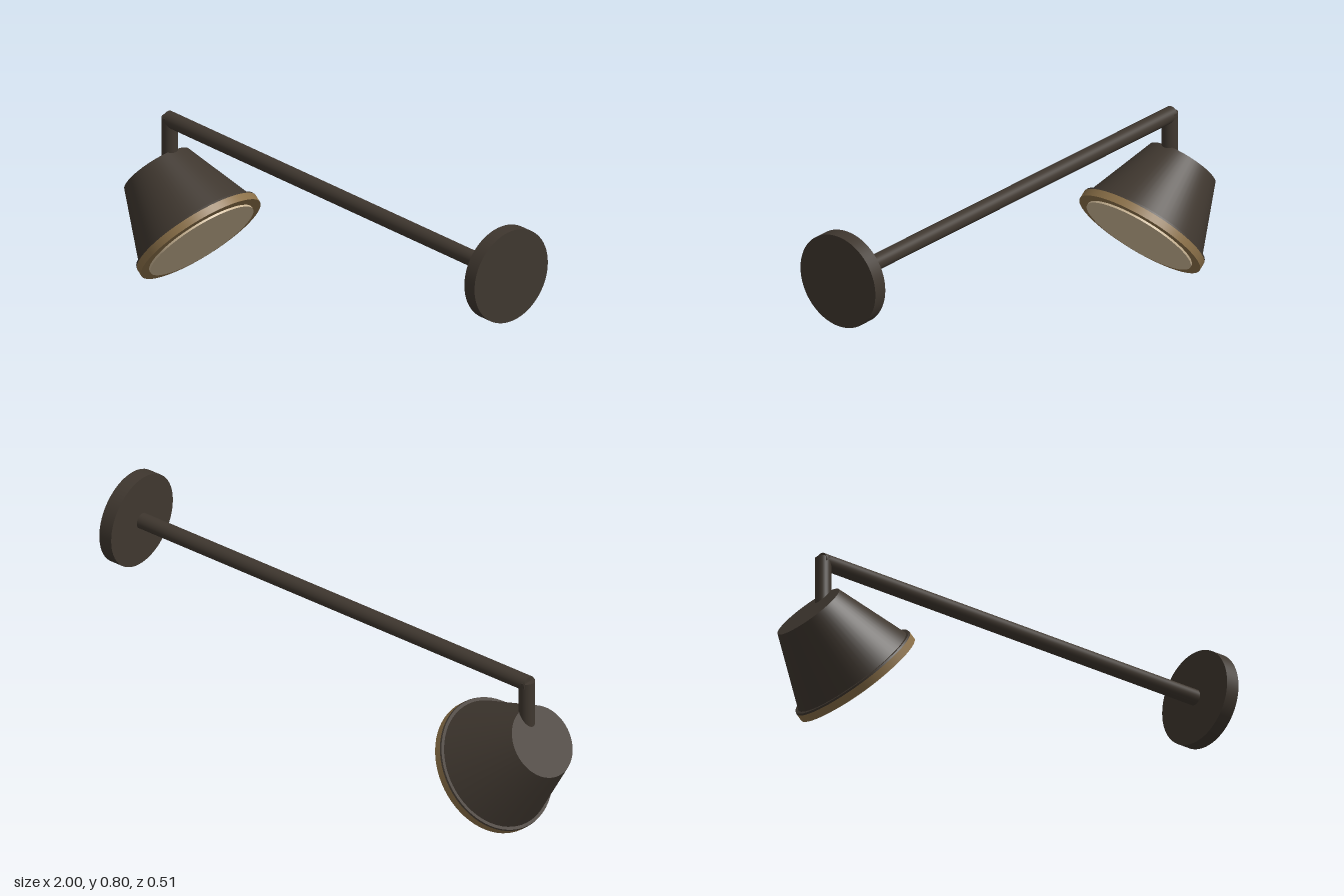
import * as THREE from 'three';

export function createModel() {
  const model = new THREE.Group();
  model.name = 'wallLamp';

  const mat = (name, color) => {
    const m = new THREE.MeshStandardMaterial({ color });
    m.name = name;
    return m;
  };
  const bronze = mat('darkBronze', 0x3f372f);
  const brass = mat('agedBrass', 0x8c7149);
  const glass = mat('warmDiffuser', 0xcdb897);

  // Closed cylinder or cone running along local y from y0 to y1
  const turned = (parent, name, material, r0, r1, y0, y1, sides = 64) => {
    const geo = new THREE.CylinderGeometry(r1, r0, y1 - y0, sides);
    geo.translate(0, (y0 + y1) / 2, 0);
    const mesh = new THREE.Mesh(geo, material);
    mesh.name = name;
    parent.add(mesh);
    return mesh;
  };

  // Wall plate and long horizontal arm, turned so local y runs along +x
  const support = new THREE.Group();
  support.name = 'wallSupport';
  support.position.y = 0.617;
  support.rotation.z = -Math.PI / 2;
  model.add(support);
  turned(support, 'wallPlate', bronze, 0.18, 0.18, 0.945, 1);
  turned(support, 'arm', bronze, 0.03, 0.03, -0.85, 0.95, 32);

  // Short drop stem joining the arm to the shade
  turned(model, 'stem', bronze, 0.03, 0.03, 0.42, 0.628, 32).position.x = -0.84;

  // Lamp head, tilted so local y points out through the opening
  const head = new THREE.Group();
  head.name = 'lampHead';
  head.position.set(-0.911, 0.394, 0);
  head.rotation.z = THREE.MathUtils.degToRad(-130);
  model.add(head);
  turned(head, 'shade', bronze, 0.138, 0.241, 0, 0.276);
  turned(head, 'shadeLip', bronze, 0.252, 0.254, 0.274, 0.281);
  turned(head, 'rim', brass, 0.254, 0.254, 0.281, 0.31);
  turned(head, 'diffuser', glass, 0.219, 0.219, 0.3, 0.318);

  return model;
}
